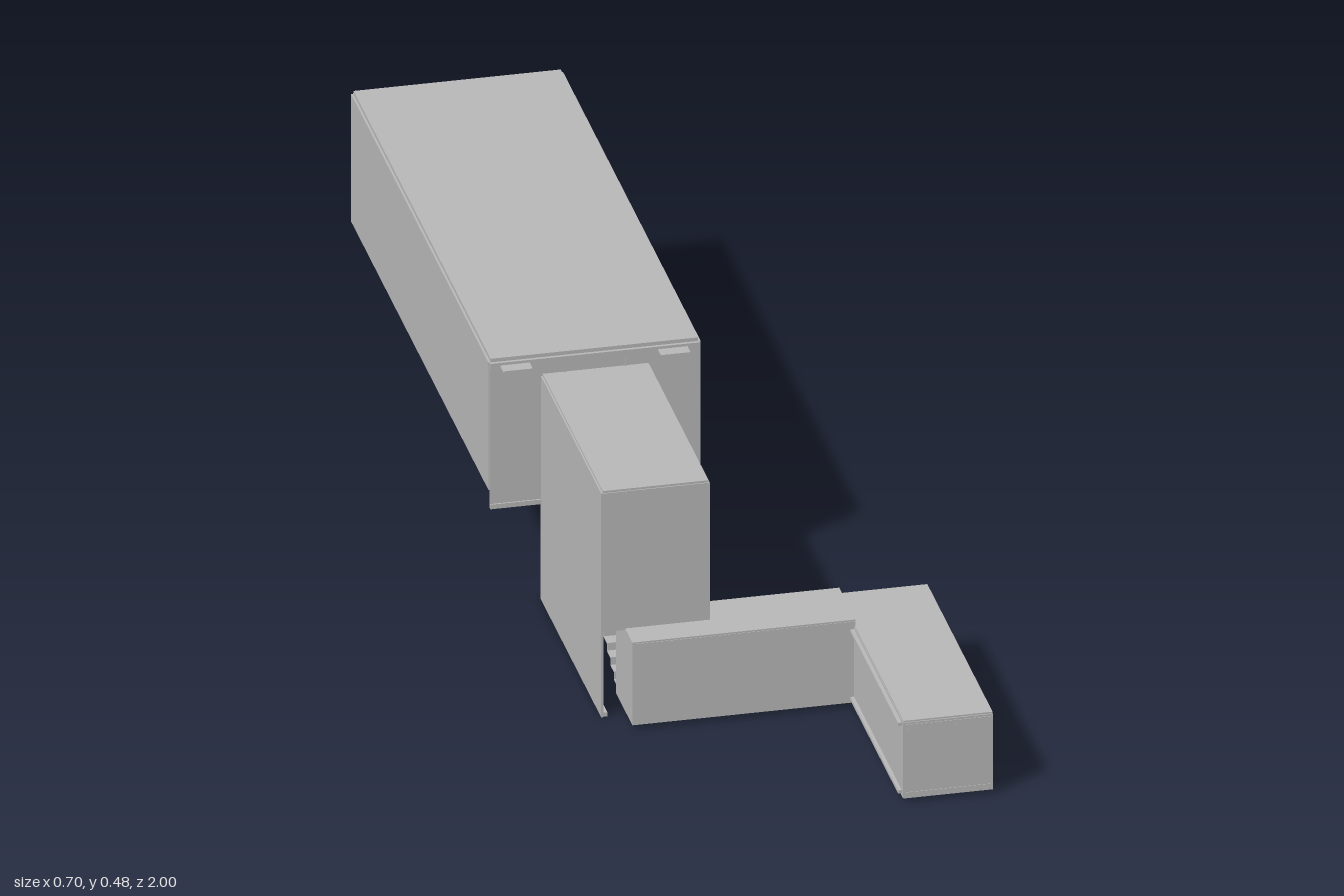
import * as THREE from 'three';

const T = 0.004; // thickness of walls and slabs

export function createModel() {
  const model = new THREE.Group();
  const grey = new THREE.MeshStandardMaterial({ color: 0xb8b8b8 });
  grey.name = 'concreteGrey';

  const section = (name) => {
    const g = new THREE.Group();
    g.name = name;
    model.add(g);
    return g;
  };
  // Box given by its extents along each axis
  const box = (parent, name, [x0, x1], [y0, y1], [z0, z1]) => {
    const m = new THREE.Mesh(new THREE.BoxGeometry(x1 - x0, y1 - y0, z1 - z0), grey);
    m.position.set((x0 + x1) / 2, (y0 + y1) / 2, (z0 + z1) / 2);
    m.name = name;
    parent.add(m);
    return m;
  };

  // Large hall
  const hall = section('hall');
  box(hall, 'roof', [-0.346, 0.028], [0.476, 0.483], [-0.995, 0.08]);
  box(hall, 'floor', [-0.346, 0.028], [0.228, 0.232], [-0.995, 0.08]);
  for (const x of [-0.35, 0.029]) {
    box(hall, 'sideWall', [x, x + T], [0.225, 0.476], [-0.998, 0.08]);
  }
  box(hall, 'backWall', [-0.346, 0.029], [0.225, 0.476], [-1, -0.996]);
  for (const [x0, x1] of [[-0.348, -0.253], [-0.062, 0.03]]) {
    box(hall, 'frontWall', [x0, x1], [0.19, 0.476], [0.08, 0.084]);
    box(hall, 'frontWallSill', [x0, x1], [0.19, 0.199], [0.083, 0.087]);
  }
  box(hall, 'lintel', [-0.253, -0.062], [0.44, 0.476], [0.08, 0.084]);
  box(hall, 'frontCornice', [-0.348, 0.031], [0.463, 0.476], [0.083, 0.086]);
  for (const x of [-0.213, -0.103]) {
    box(hall, 'lintelJoint', [x - 0.001, x + 0.001], [0.445, 0.476], [0.083, 0.087]);
  }
  for (const x of [-0.33, -0.045]) {
    box(hall, 'canopyTab', [x, x + 0.053], [0.468, 0.471], [0.08, 0.11]);
  }
  for (let i = 0; i < 14; i++) {
    const x = -0.335 + i * 0.026;
    box(hall, 'backCorniceTooth', [x, x + 0.012], [0.466, 0.473], [-1.0005, -0.998]);
  }
  // Floor joints and round grate on the underside
  box(hall, 'crossJoint', [-0.346, 0.028], [0.226, 0.229], [-0.584, -0.578]);
  for (let i = 0; i < 7; i++) {
    const z = -0.52 + i * 0.08;
    box(hall, 'centreJoint', [-0.161, -0.158], [0.2265, 0.229], [z, z + 0.05]);
  }
  const grate = section('floorGrate');
  grate.position.set(-0.15, 0.227, -0.8);
  for (const r of [0.06, 0.075]) {
    const ring = new THREE.Mesh(new THREE.TorusGeometry(r, 0.002, 6, 32), grey);
    ring.rotation.x = Math.PI / 2;
    ring.name = 'grateRing';
    grate.add(ring);
  }
  for (let i = -2; i <= 2; i++) {
    const h = Math.sqrt(0.06 ** 2 - (i * 0.02) ** 2);
    box(grate, 'grateBar', [-h, h], [-0.002, 0.002], [i * 0.02 - 0.002, i * 0.02 + 0.002]);
  }

  // Tall stairwell
  const well = section('stairwell');
  box(well, 'roof', [-0.253, -0.062], [0.44, 0.445], [0.08, 0.555]);
  box(well, 'outerWall', [-0.256, -0.252], [0, 0.441], [0.08, 0.556]);
  box(well, 'innerWall', [-0.064, -0.06], [0, 0.441], [0.08, 0.482]);
  box(well, 'innerWallUpper', [-0.064, -0.06], [0.168, 0.441], [0.482, 0.556]);
  box(well, 'frontWall', [-0.253, -0.062], [0.168, 0.441], [0.553, 0.557]);
  box(well, 'outerWallFoot', [-0.252, -0.245], [0.001, 0.009], [0.47, 0.556]);

  // Folded stair flight, open underneath
  const flight = section('stairs');
  const steps = 15, run = 0.41 / steps, rise = 0.22 / steps;
  for (let i = 0; i < steps; i++) {
    const z = 0.49 - i * run, y = 0.01 + i * rise;
    box(flight, 'riser', [-0.211, -0.063], [y - 0.002, y + rise], [z - 0.003, z]);
    box(flight, 'tread', [-0.211, -0.063], [y + rise - 0.003, y + rise], [z - run, z]);
  }

  // Cross passage
  const passage = section('passage');
  box(passage, 'roof', [-0.213, 0.19], [0.166, 0.171], [0.486, 0.614]);
  box(passage, 'floor', [-0.213, 0.19], [0.008, 0.012], [0.486, 0.614]);
  box(passage, 'frontWall', [-0.21, 0.19], [0.01, 0.168], [0.611, 0.615]);
  box(passage, 'backWall', [-0.062, 0.19], [0.01, 0.168], [0.486, 0.49]);
  box(passage, 'endWall', [-0.213, -0.209], [0.01, 0.168], [0.487, 0.614]);
  for (const x of [-0.206, -0.112, -0.066]) {
    box(passage, 'floorStud', [x - 0.003, x + 0.003], [0.002, 0.009], [0.487, 0.493]);
  }

  // End room, open on its left side
  const room = section('endRoom');
  box(room, 'roof', [0.188, 0.349], [0.155, 0.16], [0.486, 0.998]);
  box(room, 'floor', [0.188, 0.349], [0.007, 0.011], [0.486, 0.998]);
  box(room, 'frontWall', [0.188, 0.349], [0.008, 0.157], [0.996, 1]);
  box(room, 'backWall', [0.188, 0.349], [0.008, 0.157], [0.484, 0.488]);
  box(room, 'sideWall', [0.187, 0.191], [0.008, 0.157], [0.615, 0.998]);
  for (const y of [0.014, 0.147]) {
    box(room, 'outerTrim', [0.18, 0.188], [y, y + 0.006], [0.615, 0.99]);
    box(room, 'frontTrim', [0.19, 0.349], [y, y + 0.006], [0.999, 1.001]);
  }
  for (let i = 0; i < 7; i++) {
    const x = 0.197 + i * 0.021;
    box(room, 'frontCorniceTooth', [x, x + 0.01], [0.141, 0.147], [0.999, 1.001]);
  }
  for (const z of [0.67, 0.83, 0.965]) {
    box(room, 'wallLamp', [0.19, 0.196], [0.11, 0.125], [z - 0.01, z + 0.01]);
    box(room, 'ceilingBeam', [0.19, 0.349], [0.151, 0.156], [z - 0.004, z + 0.004]);
  }
  // Fittings on the inner wall
  box(room, 'upperShelf', [0.19, 0.2], [0.11, 0.114], [0.7, 0.81]);
  box(room, 'console', [0.19, 0.205], [0.08, 0.1], [0.73, 0.81]);
  box(room, 'consoleBase', [0.19, 0.2], [0.06, 0.08], [0.77, 0.81]);
  box(room, 'lowerRail', [0.19, 0.194], [0.058, 0.062], [0.7, 0.77]);
  box(room, 'wallSlot', [0.19, 0.195], [0.055, 0.061], [0.89, 0.935]);

  return model;
}
